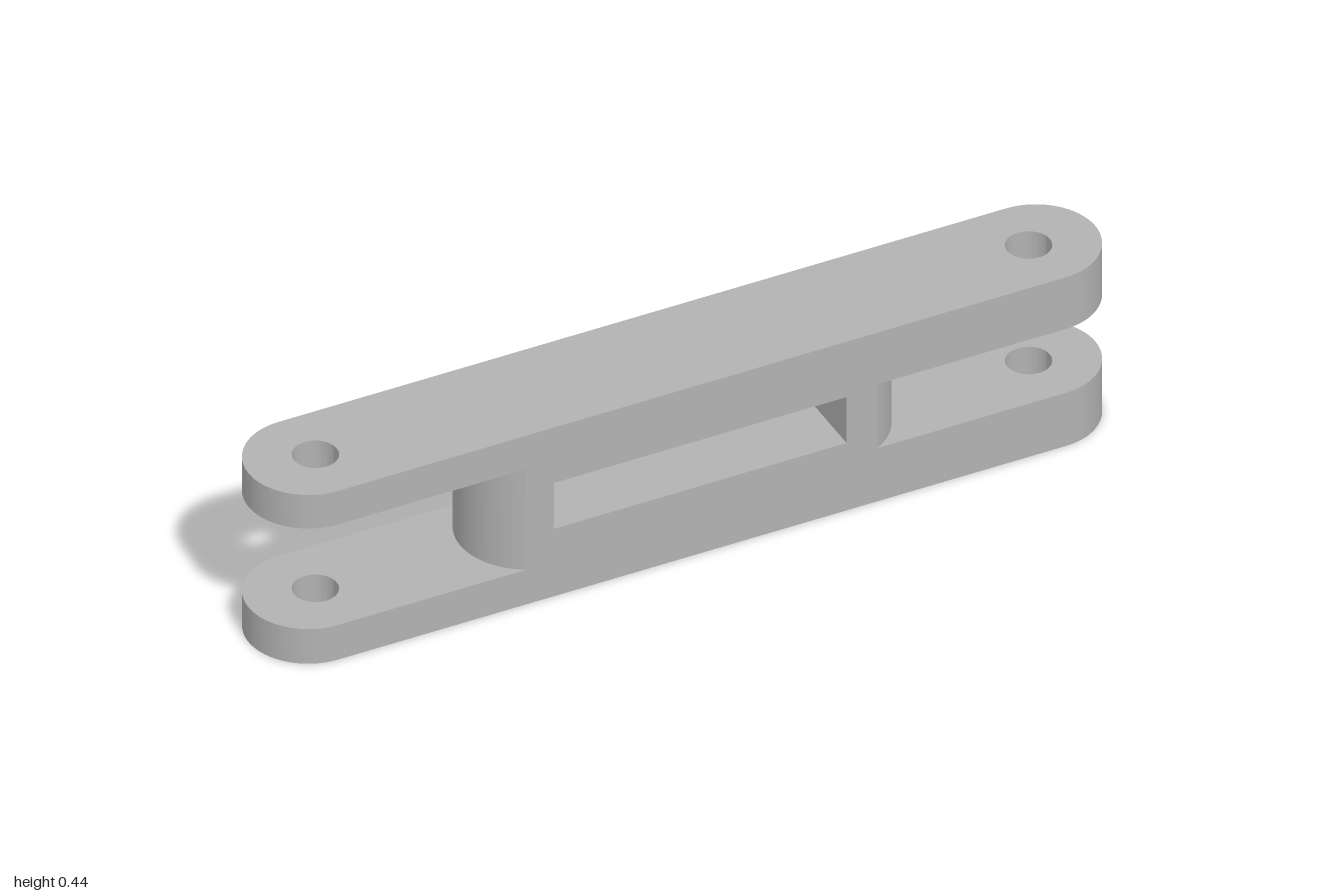
import * as THREE from 'three';
import { toCreasedNormals } from 'three/addons/utils/BufferGeometryUtils.js';

const HEIGHT = 0.438;
const HALF = 0.14;          // half the width in z
const ROOT = 0.414;         // where the prongs leave the solid middle
const PIN = 0.843;          // pin hole position
const TIP_R = 0.157;        // radius of the rounded middle ends

export function createModel() {
  const group = new THREE.Group();
  const steel = new THREE.MeshStandardMaterial({ color: 0xb2b2b2 });
  steel.name = 'grey steel';

  const extrude = (shape, depth) =>
    new THREE.ExtrudeGeometry(shape, { depth, bevelEnabled: false, curveSegments: 32 });

  const add = (name, geometry) => {
    const mesh = new THREE.Mesh(toCreasedNormals(geometry, 0.4), steel);
    mesh.name = name;
    group.add(mesh);
  };

  // Extrude a plan outline upward between two heights; side -1 turns it to the other end
  const addPlan = (name, shape, y0, y1, side) => {
    const geometry = extrude(shape, y1 - y0).rotateX(-Math.PI / 2).translate(0, y0, 0);
    if (side < 0) geometry.rotateY(Math.PI);
    add(name, geometry);
  };

  const rectangle = (target, x0, x1, y0, y1) => {
    target.moveTo(x0, y0);
    target.lineTo(x1, y0);
    target.lineTo(x1, y1);
    target.lineTo(x0, y1);
    target.closePath();
    return target;
  };

  // Solid middle with a blind pocket in the front
  const backDepth = 0.06;
  const back = rectangle(new THREE.Shape(), -ROOT, ROOT, 0, HEIGHT);
  const front = back.clone();
  front.holes.push(rectangle(new THREE.Path(), -0.35, 0.342, 0.175, 0.294));
  add('bodyBack', extrude(back, backDepth).translate(0, 0, -HALF));
  add('bodyFront', extrude(front, 2 * HALF - backDepth).translate(0, 0, backDepth - HALF));

  // Prong outline: straight sides, round end, pin hole
  const prong = new THREE.Shape();
  prong.moveTo(ROOT, -HALF);
  prong.lineTo(1 - HALF, -HALF);
  prong.absarc(1 - HALF, 0, HALF, -Math.PI / 2, Math.PI / 2, false);
  prong.lineTo(ROOT, HALF);
  prong.closePath();
  prong.holes.push(new THREE.Path().absarc(PIN, 0, 0.05, 0, Math.PI * 2, true));

  // Rounded end of the middle, a circle cut off by the body sides
  const tip = new THREE.Shape();
  const angle = Math.asin(HALF / TIP_R);
  tip.absarc(0.5 - TIP_R, 0, TIP_R, -angle, angle, false);
  tip.closePath();

  // Wide fork on the right end, narrow fork on the left end
  const forks = [
    { label: 'left', side: 1, low: 0.138, high: 0.304 },
    { label: 'right', side: -1, low: 0.09, high: 0.351 },
  ];
  for (const { label, side, low, high } of forks) {
    addPlan(label + 'LowerProng', prong, 0, low, side);
    addPlan(label + 'UpperProng', prong, high, HEIGHT, side);
    addPlan(label + 'RoundedEnd', tip, low, high, side);
  }
  return group;
}
